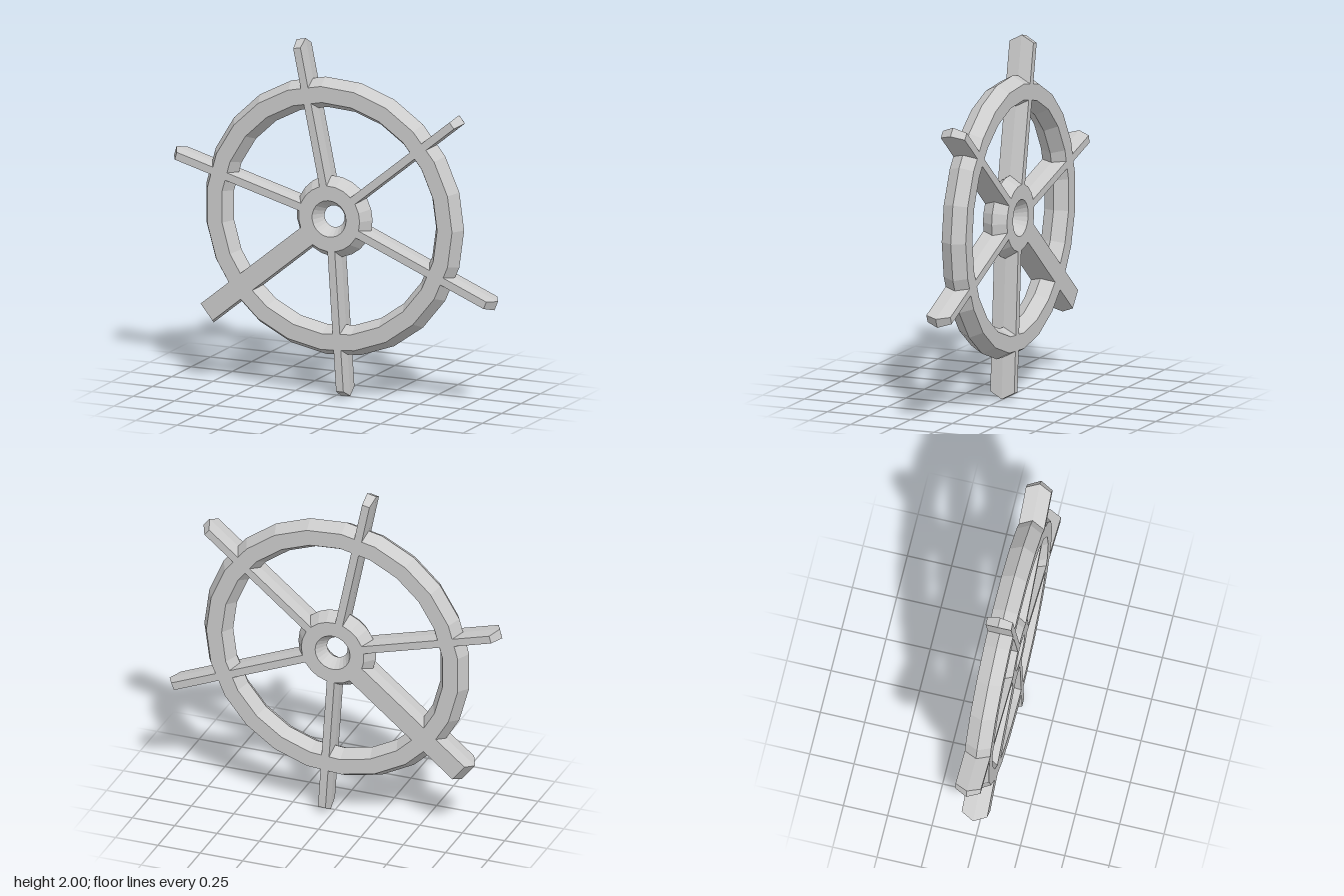
import * as THREE from 'three';
import { ConvexGeometry } from 'three/addons/geometries/ConvexGeometry.js';

const HALF = 0.072; // half thickness of the wheel
const material = new THREE.MeshStandardMaterial({ color: 0xcccccc, flatShading: true });

// Ring with ridged inner and outer edges, lying in the xy plane
function ring(name, innerMid, innerFace, outerFace, outerMid, segments) {
  const profile = [
    [innerFace, -HALF], [outerFace, -HALF], [outerMid, 0],
    [outerFace, HALF], [innerFace, HALF], [innerMid, 0], [innerFace, -HALF],
  ].map(([r, y]) => new THREE.Vector2(r, y));
  const geometry = new THREE.LatheGeometry(profile, segments);
  geometry.rotateX(Math.PI / 2).rotateZ(Math.PI / 2);
  const mesh = new THREE.Mesh(geometry, material);
  mesh.name = name;
  return mesh;
}

// Bar along +x whose edges and tip come to a ridge at mid thickness
function spoke(name, degrees, length, width) {
  const start = 0.14, tipBevel = 0.038, sideBevel = 0.006;
  const points = [];
  for (const z of [-HALF, 0, HALF]) {
    const end = z === 0 ? length : length - tipBevel;
    const w = width / 2 - (z === 0 ? 0 : sideBevel);
    for (const side of [-1, 1]) {
      points.push(new THREE.Vector3(start, side * w, z), new THREE.Vector3(end, side * w, z));
    }
  }
  const mesh = new THREE.Mesh(new ConvexGeometry(points), material);
  mesh.rotation.z = THREE.MathUtils.degToRad(degrees);
  mesh.name = name;
  return mesh;
}

export function createModel() {
  const wheel = new THREE.Group();
  wheel.name = 'wheel';
  wheel.position.set(-0.013, 1.012, 0);

  wheel.add(ring('rim', 0.615, 0.655, 0.745, 0.785, 23));
  wheel.add(ring('hub', 0.061, 0.103, 0.185, 0.23, 23));

  // Spokes: angle, length, width; one is broader than the rest
  [
    [39.1, 0.995, 0.056],
    [101.7, 1.003, 0.056],
    [164.4, 1.003, 0.056],
    [219.1, 0.995, 0.126],
    [273.8, 1.01, 0.056],
    [337.5, 1.06, 0.056],
  ].forEach(([angle, length, width], i) => {
    wheel.add(spoke(`spoke${i + 1}`, angle, length, width));
  });

  const model = new THREE.Group();
  model.add(wheel);
  return model;
}
